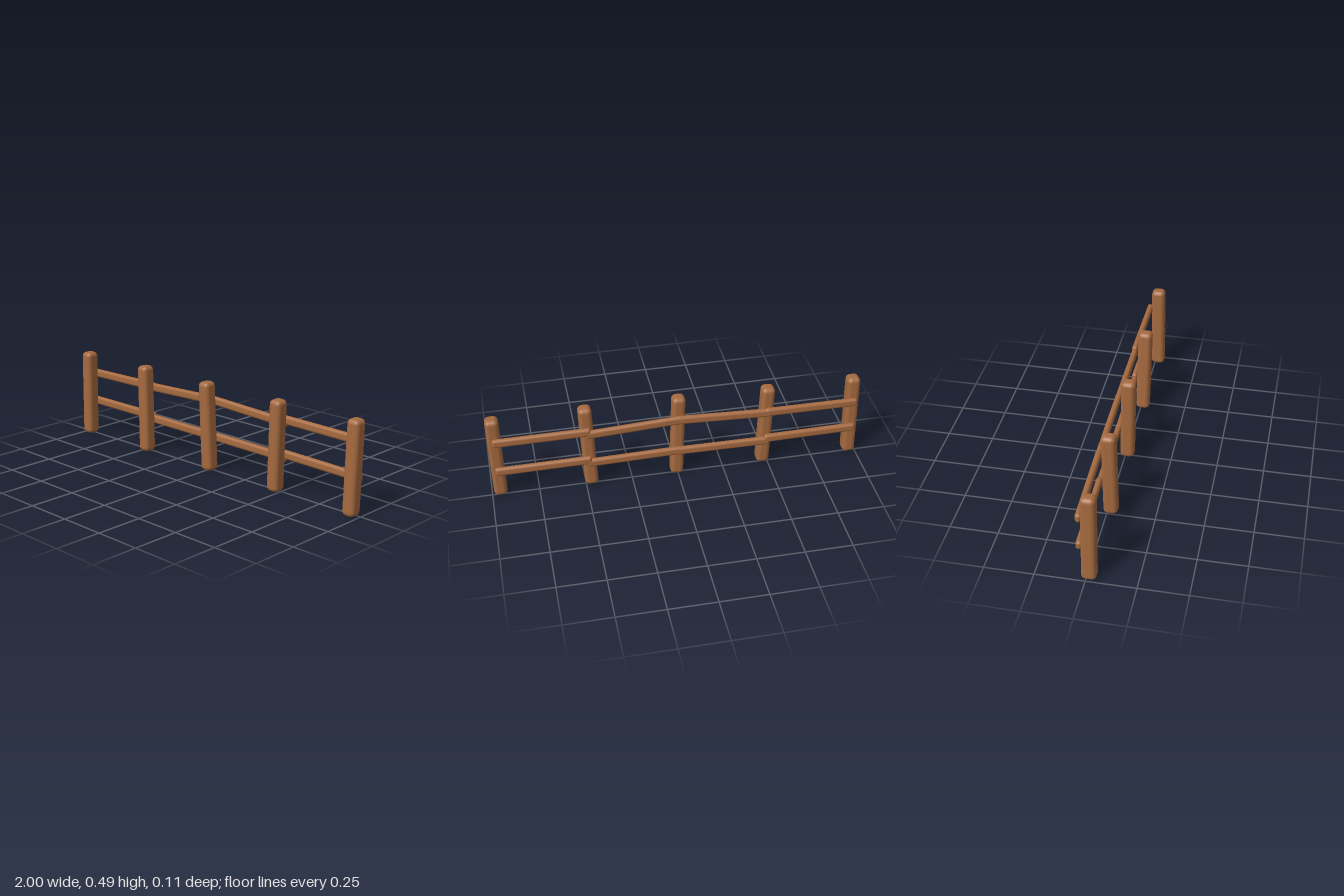
import * as THREE from 'three';
import { RoundedBoxGeometry } from 'three/addons/geometries/RoundedBoxGeometry.js';

const wood = new THREE.MeshStandardMaterial({ color: 0xa66a3f });

// Rounded beam running between two points; its local y axis follows the line.
function beam(name, from, to, width, depth, radius) {
  const a = new THREE.Vector3(...from);
  const b = new THREE.Vector3(...to);
  const dir = b.clone().sub(a);
  const mesh = new THREE.Mesh(
    new RoundedBoxGeometry(width, dir.length(), depth, 2, radius), wood);
  mesh.name = name;
  mesh.position.copy(a).add(b).multiplyScalar(0.5);
  mesh.quaternion.setFromUnitVectors(new THREE.Vector3(0, 1, 0), dir.normalize());
  return mesh;
}

export function createModel() {
  const fence = new THREE.Group();
  fence.name = 'fence';

  // Slightly leaning posts: bottom x, bottom z, top x, top z
  const posts = [
    [-0.964, 0.014, -0.955, 0.014],
    [-0.473, 0.019, -0.487, 0.011],
    [0.006, 0.011, -0.008, 0.019],
    [0.468, 0.011, 0.487, 0.019],
    [0.954, 0.018, 0.962, 0.011],
  ];
  posts.forEach(([bx, bz, tx, tz], i) => {
    fence.add(beam(`post${i + 1}`, [bx, 0.002, bz], [tx, 0.49, tz], 0.071, 0.076, 0.024));
  });

  // Rails behind the posts, one pair per bay: start x, end x, start z, end z,
  // then start and end heights of the upper and lower rail
  const bays = [
    [-0.972, -0.465, -0.036, -0.041, 0.355, 0.361, 0.190, 0.188],
    [-0.495, 0.015, -0.041, -0.037, 0.357, 0.376, 0.174, 0.174],
    [-0.015, 0.495, -0.036, -0.041, 0.376, 0.353, 0.176, 0.170],
    [0.465, 0.972, -0.041, -0.037, 0.371, 0.366, 0.189, 0.182],
  ];
  bays.forEach(([x0, x1, z0, z1, u0, u1, l0, l1], i) => {
    fence.add(beam(`upperRail${i + 1}`, [x0, u0, z0], [x1, u1, z1], 0.047, 0.031, 0.0145));
    fence.add(beam(`lowerRail${i + 1}`, [x0, l0, z0], [x1, l1, z1], 0.047, 0.031, 0.0145));
  });

  return fence;
}
